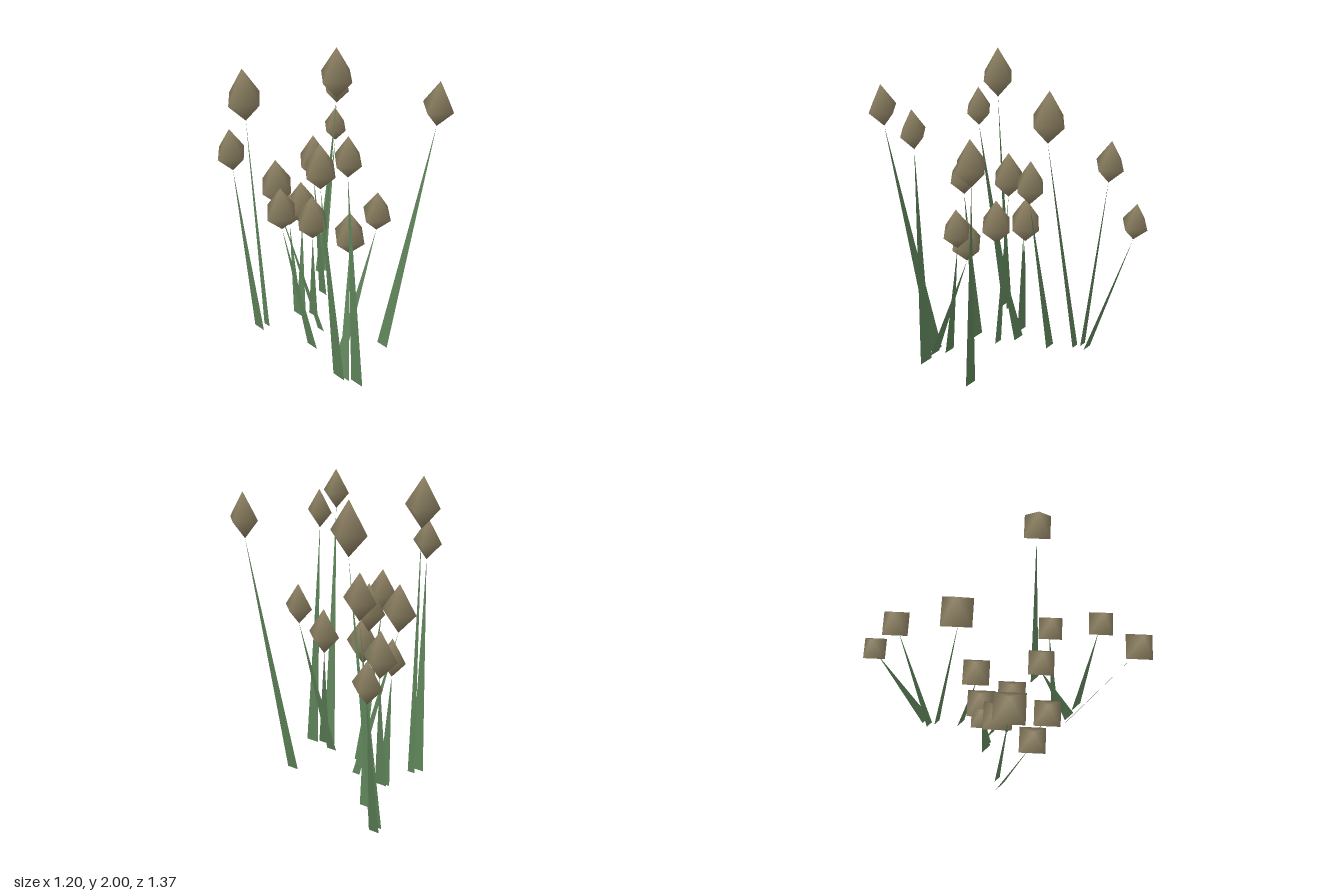
import * as THREE from 'three';

// Each plant: bud x, z, bottom y, top y, half width; blade base left x, right x, z
const PLANTS = [
  [-0.51, -0.59, 1.01, 1.265, 0.093, -0.475, -0.407, -0.36],
  [-0.385, -0.46, 1.407, 1.677, 0.1, -0.47, -0.42, -0.318],
  [-0.154, -0.188, 1.64, 1.963, 0.119, -0.418, -0.368, -0.293],
  [-0.193, -0.02, 1.138, 1.444, 0.109, -0.302, -0.233, -0.17],
  [-0.235, 0.055, 0.8, 1.125, 0.119, -0.285, -0.2, 0.086],
  [-0.283, 0.12, 0.8, 1.06, 0.095, -0.3, -0.22, 0.1],
  [-0.26, 0.238, 1.048, 1.37, 0.119, -0.066, -0.01, 0.11],
  [-0.315, 0.39, 1.683, 2.0, 0.117, -0.375, -0.325, 0.32],
  [-0.287, 0.54, 1.444, 1.71, 0.098, -0.415, -0.33, 0.37],
  [-0.062, 0.145, 0.825, 1.148, 0.119, -0.21, -0.13, 0.04],
  [-0.042, 0.423, 1.08, 1.37, 0.109, -0.023, 0.06, 0.26],
  [0.212, 0.118, 0.841, 1.148, 0.114, 0.315, 0.4, 0.33],
  [0.349, 0.04, 1.048, 1.317, 0.1, 0.226, 0.3, 0.28],
  [0.382, 0.346, 1.598, 1.847, 0.09, 0.4, 0.492, 0.31],
  [0.407, 0.585, 1.667, 1.926, 0.097, 0.28, 0.37, 0.345],
  [0.498, -0.272, 1.667, 1.942, 0.101, 0.327, 0.407, -0.054],
];

// Unit bud: smooth four-sided double pyramid, widest a little below the middle
function budGeometry() {
  const geo = new THREE.BufferGeometry();
  const w = 0.43;
  geo.setAttribute('position', new THREE.Float32BufferAttribute([
    0, 0, 0, 1, w, 0, 0, w, 1, -1, w, 0, 0, w, -1, 0, 1, 0,
  ], 3));
  const index = [];
  for (let i = 0; i < 4; i++) {
    const a = 1 + i, b = 1 + ((i + 1) % 4);
    index.push(0, a, b, 5, b, a);
  }
  geo.setIndex(index);
  return geo;
}

// Flat blade tapering from a base edge on the ground to the bud
function bladeGeometry(x0, x1, z, tip) {
  const geo = new THREE.BufferGeometry();
  geo.setAttribute('position', new THREE.Float32BufferAttribute([x0, 0, z, x1, 0, z, ...tip], 3));
  geo.computeVertexNormals();
  return geo;
}

export function createModel() {
  const group = new THREE.Group();
  group.name = 'buddingPlants';
  const budMat = new THREE.MeshStandardMaterial({ color: 0x8c8062 });
  budMat.name = 'dry bud brown';
  const bladeMat = new THREE.MeshStandardMaterial({ color: 0x5f845a, side: THREE.DoubleSide });
  bladeMat.name = 'stalk green';

  const unitBud = budGeometry();
  for (const [x, z, bottom, top, r, x0, x1, bz] of PLANTS) {
    const plant = new THREE.Group();
    plant.name = 'plant';

    const geo = unitBud.clone().scale(r, top - bottom, r);
    geo.computeVertexNormals();
    const bud = new THREE.Mesh(geo, budMat);
    bud.name = 'bud';
    bud.position.set(x, bottom, z);

    const stalk = new THREE.Mesh(bladeGeometry(x0, x1, bz, [x, bottom, z]), bladeMat);
    stalk.name = 'stalk';

    plant.add(bud, stalk);
    group.add(plant);
  }
  return group;
}
